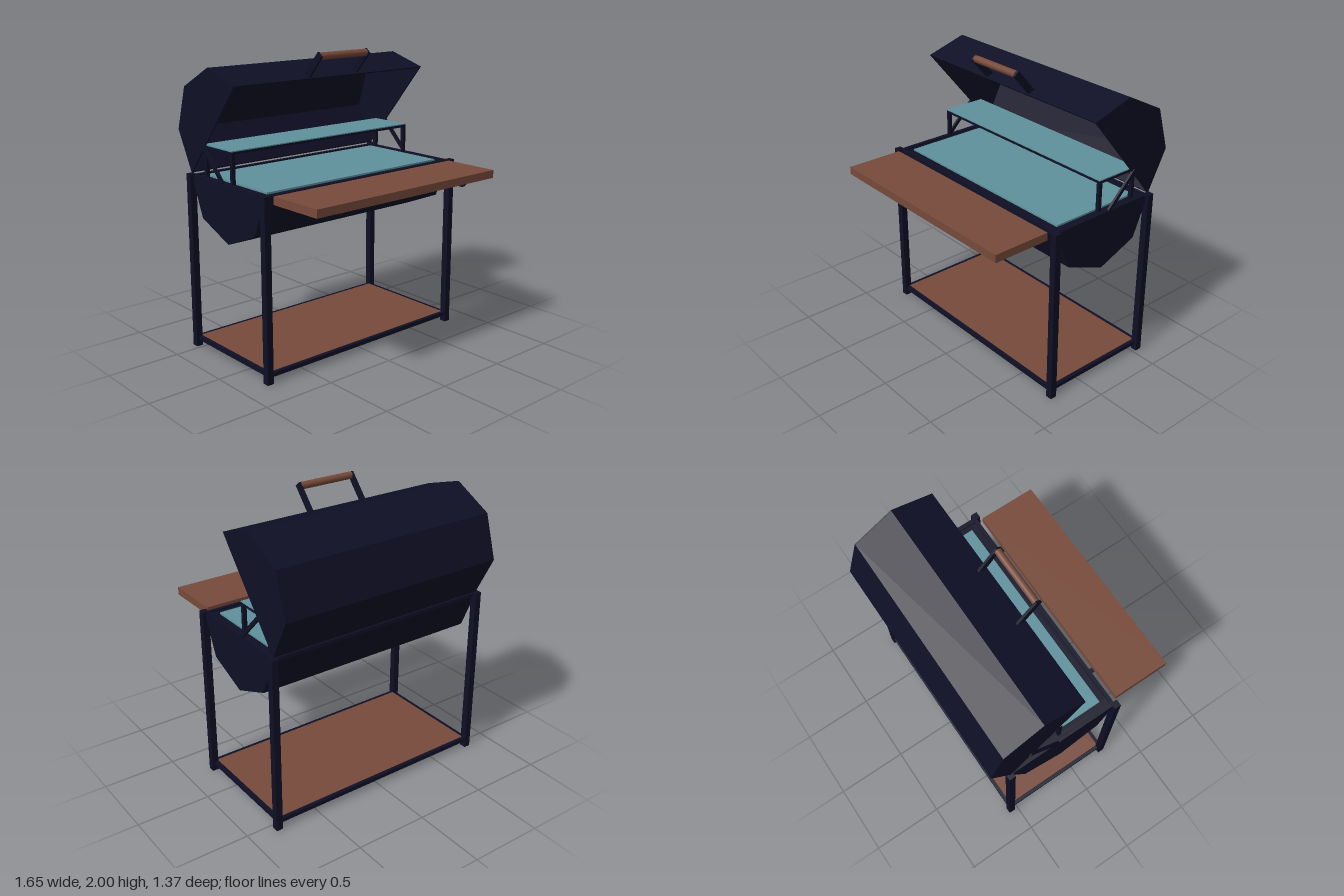
import * as THREE from 'three';

const mat = (name, color) => Object.assign(new THREE.MeshStandardMaterial({ color }), { name });

export function createModel() {
  const steel = mat('dark steel', 0x0f0f26);
  const wood = mat('brown wood', 0x774a3a);
  const grate = mat('grey teal grate', 0x5f929d);
  const model = new THREE.Group();
  model.name = 'barrelGrill';

  const add = (name, geometry, material, parent = model) => {
    const mesh = new THREE.Mesh(geometry, material);
    mesh.name = name;
    parent.add(mesh);
    return mesh;
  };
  // Box given by its limits on each axis
  const box = (name, x0, x1, y0, y1, z0, z1, material = steel, parent = model) => {
    const mesh = add(name, new THREE.BoxGeometry(x1 - x0, y1 - y0, z1 - z0), material, parent);
    mesh.position.set((x0 + x1) / 2, (y0 + y1) / 2, (z0 + z1) / 2);
    return mesh;
  };
  // Side profile of [z, y] points, extruded along x
  const profile = (points, x0, x1) => {
    const shape = new THREE.Shape(points.map(([z, y]) => new THREE.Vector2(-z, y)));
    return new THREE.ExtrudeGeometry(shape, { depth: x1 - x0, bevelEnabled: false })
      .rotateY(Math.PI / 2).translate(x0, 0, 0);
  };
  // Straight flat bar between two [z, y] points
  const bar = (name, x0, x1, [az, ay], [bz, by], width, parent = model) => {
    const length = Math.hypot(bz - az, by - ay);
    const nz = -(by - ay) / length * width / 2, ny = (bz - az) / length * width / 2;
    add(name, profile([[az + nz, ay + ny], [bz + nz, by + ny],
      [bz - nz, by - ny], [az - nz, ay - ny]], x0, x1), steel, parent);
  };
  // Open half barrel: a thin faceted shell with closed ends
  const halfBarrel = (name, points) => {
    const group = new THREE.Group();
    group.name = name;
    const a = points[0], b = points[points.length - 1];
    const c = [(a[0] + b[0]) / 2, (a[1] + b[1]) / 2];
    const inner = points.map(([z, y]) => [c[0] + (z - c[0]) * 0.97, c[1] + (y - c[1]) * 0.97]);
    add(name + 'Shell', profile([...points, ...inner.reverse()], -0.8, 0.8), steel, group);
    for (const x of [-0.8, 0.79]) add(name + 'End', profile(points, x, x + 0.01), steel, group);
    model.add(group);
    return group;
  };

  // Fire bowl and raised lid
  halfBarrel('bowl', [[0.255, 1.195], [0.14, 0.925], [-0.145, 0.81], [-0.43, 0.925], [-0.545, 1.195]]);
  const lid = halfBarrel('lid',
    [[-0.035, 1.825], [-0.32, 1.912], [-0.595, 1.77], [-0.685, 1.48], [-0.545, 1.21]]);

  // Lid handle
  const grip = add('handleGrip', new THREE.CylinderGeometry(0.024, 0.024, 0.39, 12).rotateZ(Math.PI / 2), wood, lid);
  grip.position.set(0, 1.97, 0.043);

  for (const s of [-1, 1]) {
    const span = (p, q) => [Math.min(s * p, s * q), Math.max(s * p, s * q)];
    bar('handleArm', ...span(0.193, 0.21), [-0.085, 1.822], [0.055, 1.982], 0.045, lid);

    // Legs and side rails
    for (const z of [0.257, -0.547]) box('leg', ...span(0.78, 0.825), 0, 1.205, z - 0.023, z + 0.023);
    box('sideRail', ...span(0.77, 0.8), 1.175, 1.2, -0.545, 0.255);
    box('sideLedge', ...span(0.73, 0.77), 1.17, 1.19, -0.52, 0.23);
    box('shelfSideRail', ...span(0.78, 0.805), 0.042, 0.07, -0.547, 0.257);

    // Warming rack posts and the lid stay
    for (const z of [-0.15, -0.44]) box('rackPost', ...span(0.735, 0.76), 1.18, 1.39, z - 0.012, z + 0.012);
    box('rackSideRail', ...span(0.735, 0.76), 1.385, 1.402, -0.452, -0.138);
    bar('lidStay', ...span(0.79, 0.806), [-0.19, 1.2], [-0.405, 1.415], 0.025);

    // Bracket under the front shelf
    add('shelfBracket', profile([[0.24, 1.15], [0.665, 1.15], [0.64, 1.122], [0.24, 1.122]],
      ...span(0.507, 0.533)), steel);
  }

  // Rails and ledges along the length
  for (const s of [-1, 1]) {
    const z = -0.145 + s * 0.388, ledge = -0.145 + s * 0.35;
    box('longRail', -0.8, 0.8, 1.175, 1.2, z - 0.0125, z + 0.0125);
    box('longLedge', -0.77, 0.77, 1.17, 1.19, ledge - 0.027, ledge + 0.027);
    const y = -0.145 + s * 0.402;
    box('shelfLongRail', -0.8, 0.8, 0.042, 0.07, y - 0.0125, y + 0.0125);
  }

  // Cooking grate and warming rack
  box('cookingGrate', -0.73, 0.73, 1.185, 1.202, -0.475, 0.182, grate);
  box('warmingGrate', -0.76, 0.76, 1.402, 1.409, -0.452, -0.138, grate);
  for (const z of [-0.15, -0.44]) box('rackLongRail', -0.735, 0.735, 1.385, 1.402, z - 0.012, z + 0.012);

  // Front shelf and lower shelf
  box('frontShelf', -0.762, 0.762, 1.152, 1.205, 0.288, 0.687, wood);
  box('lowerShelfBase', -0.78, 0.78, 0.045, 0.064, -0.545, 0.255);
  box('lowerShelfBoard', -0.78, 0.78, 0.064, 0.072, -0.535, 0.245, wood);

  return model;
}
